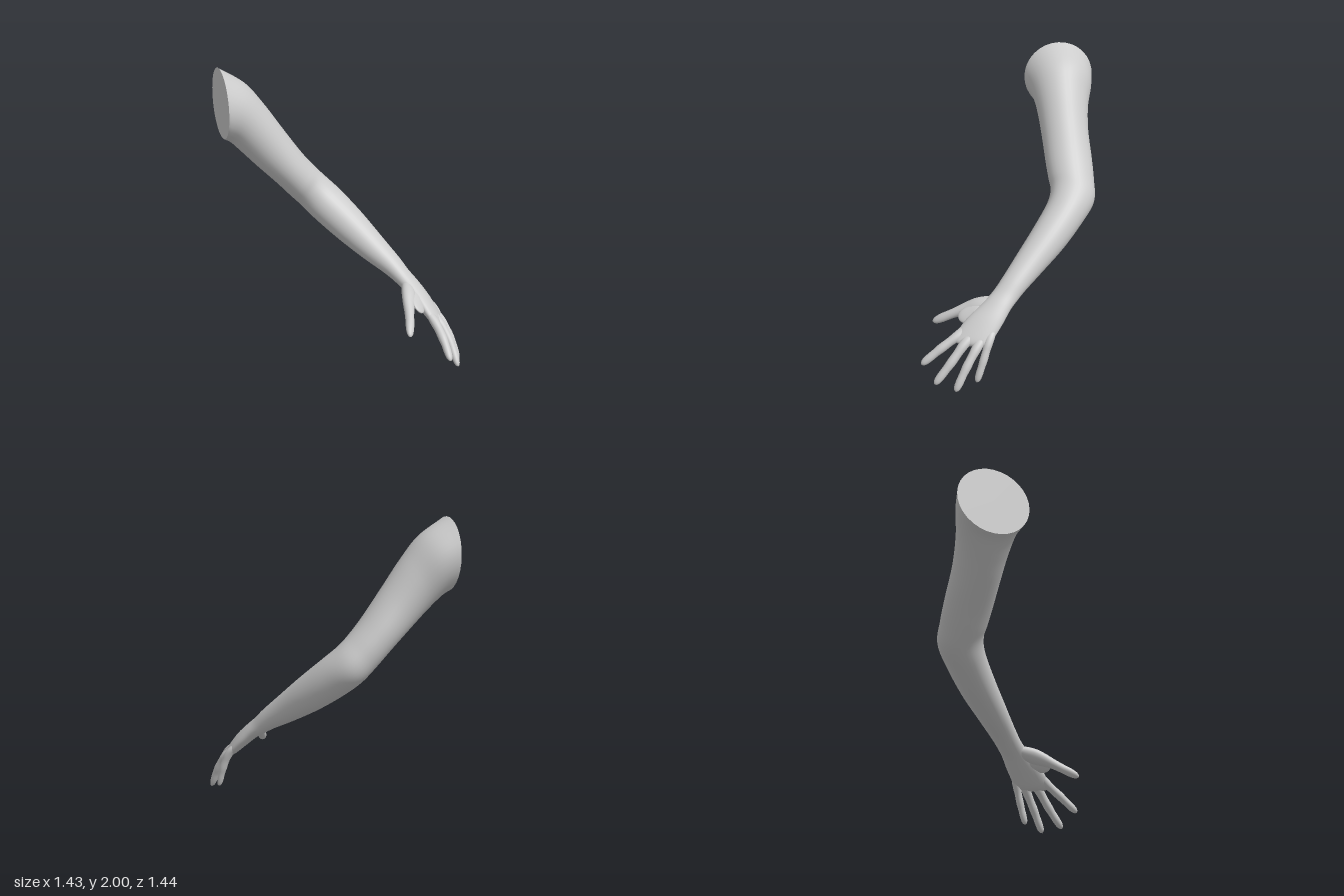
import * as THREE from 'three';

const V = (a) => new THREE.Vector3(a[0], a[1], a[2]);
const material = new THREE.MeshStandardMaterial({ color: 0xcccccc });
const SIDES = 32;

// Smooth skin through elliptical sections: { c: centre, a: half side axis, b: half upper axis }
function loft(name, sections, steps = 5) {
  const curve = (key) => new THREE.CatmullRomCurve3(sections.map((s) => s[key]), false, 'catmullrom', 0.5);
  const [C, A, B] = ['c', 'a', 'b'].map(curve);
  const rows = (sections.length - 1) * steps;
  const pos = [], index = [];
  for (let i = 0; i <= rows; i++) {
    const c = C.getPoint(i / rows), a = A.getPoint(i / rows), b = B.getPoint(i / rows);
    for (let j = 0; j < SIDES; j++) {
      const t = (j / SIDES) * Math.PI * 2;
      const p = c.clone().addScaledVector(a, Math.cos(t)).addScaledVector(b, Math.sin(t));
      pos.push(p.x, p.y, p.z);
      if (i === rows) continue;
      const k = i * SIDES + j, n = i * SIDES + ((j + 1) % SIDES);
      index.push(k, k + SIDES, n, n, k + SIDES, n + SIDES);
    }
  }
  const g = new THREE.BufferGeometry();
  g.setAttribute('position', new THREE.Float32BufferAttribute(pos, 3));
  g.setIndex(index);
  g.computeVertexNormals();
  const mesh = new THREE.Mesh(g, material);
  mesh.name = name;
  return mesh;
}

// Digit along a path; profile rows are [position along path, half width, half thickness]
const handBack = V([0.64, 0.72, 0.25]).normalize();
function digit(name, points, profile) {
  const path = new THREE.CatmullRomCurve3(points.map(V));
  return loft(name, profile.map(([s, w, h]) => {
    const d = path.getTangentAt(s);
    const a = d.clone().cross(handBack).normalize();
    const b = a.clone().cross(d).normalize();
    return { c: path.getPointAt(s), a: a.multiplyScalar(w), b: b.multiplyScalar(h) };
  }), 4);
}

// Fingers share one profile: buried tendon, knuckle, two joints, rounded tip
const fingerProfile = [
  [0, 0.7, 0.5], [0.18, 1.1, 0.85], [0.32, 1.08, 1.02], [0.45, 0.96, 0.96], [0.6, 1, 0.98],
  [0.72, 0.9, 0.86], [0.84, 0.9, 0.82], [0.93, 0.78, 0.66], [0.98, 0.46, 0.38], [1, 0, 0],
];
const wrist = [0.415, 0.535, 0.13];

export function createModel() {
  const group = new THREE.Group();
  group.name = 'arm';

  // Arm and palm: centre, side axis, upper axis
  const arm = [
    // shoulder and upper arm
    [[-0.714, 1.755, -0.465], [0, 0, 0.255], [0, 0.245, 0]],
    [[-0.6, 1.68, -0.468], [0, 0, 0.22], [0.06, 0.205, 0]],
    [[-0.495, 1.56, -0.455], [0, 0, 0.187], [0.078, 0.175, 0]],
    [[-0.38, 1.41, -0.447], [0, 0, 0.17], [0.1, 0.125, 0]],
    [[-0.245, 1.245, -0.447], [0, 0, 0.167], [0.095, 0.105, 0]],
    [[-0.15, 1.135, -0.445], [-0.02, 0.02, 0.16], [0.09, 0.105, 0]],
    // elbow and forearm
    [[-0.065, 1.045, -0.435], [-0.045, 0.045, 0.147], [0.09, 0.105, 0]],
    [[0.025, 0.95, -0.36], [-0.06, 0.06, 0.112], [0.1, 0.098, 0]],
    [[0.147, 0.82, -0.22], [-0.056, 0.057, 0.098], [0.092, 0.088, 0]],
    [[0.268, 0.692, -0.062], [-0.05, 0.048, 0.08], [0.073, 0.07, 0]],
    [[0.36, 0.6, 0.055], [-0.046, 0.035, 0.07], [0.054, 0.055, 0.004]],
    // wrist and palm
    [wrist, [-0.042, 0.02, 0.075], [0.042, 0.045, 0.01]],
    [[0.46, 0.48, 0.2], [-0.045, 0.01, 0.088], [0.036, 0.041, 0.012]],
    [[0.51, 0.405, 0.285], [-0.05, 0.006, 0.112], [0.033, 0.037, 0.013]],
    [[0.56, 0.322, 0.365], [-0.052, 0.006, 0.115], [0.025, 0.028, 0.01]],
    [[0.583, 0.288, 0.4], [-0.043, 0.004, 0.095], [0.015, 0.016, 0.006]],
    [[0.59, 0.275, 0.412], [0, 0, 0], [0, 0, 0]],
  ];
  group.add(loft('armAndPalm', arm.map(([c, a, b]) => ({ c: V(c), a: V(a), b: V(b) })), 6));

  // Flat end at the shoulder
  const cap = new THREE.Mesh(new THREE.CircleGeometry(1, SIDES), material);
  cap.name = 'shoulderCap';
  cap.scale.set(0.255, 0.245, 1);
  cap.rotation.y = -Math.PI / 2;
  cap.position.set(...arm[0][0]);
  group.add(cap);

  // Fingers: knuckle, middle joint, tip, radius
  const fingers = {
    indexFinger: [[0.52, 0.33, 0.455], [0.538, 0.245, 0.585], [0.54, 0.14, 0.718], 0.031],
    middleFinger: [[0.575, 0.3, 0.42], [0.618, 0.18, 0.525], [0.637, 0.036, 0.642], 0.031],
    ringFinger: [[0.612, 0.285, 0.345], [0.664, 0.16, 0.43], [0.7, 0.005, 0.512], 0.03],
    littleFinger: [[0.605, 0.325, 0.265], [0.647, 0.2, 0.312], [0.672, 0.045, 0.366], 0.027],
  };
  for (const [name, [knuckle, joint, tip, r]] of Object.entries(fingers)) {
    const start = V(knuckle).lerp(V(wrist), 0.3).toArray();
    group.add(digit(name, [start, knuckle, joint, tip], fingerProfile.map(([s, w, h]) => [s, w * r, h * r])));
  }

  // Thumb, and the web of skin joining it to the palm
  group.add(digit('thumb',
    [[0.425, 0.51, 0.17], [0.4, 0.475, 0.29], [0.357, 0.43, 0.4], [0.322, 0.38, 0.5], [0.28, 0.318, 0.61]],
    [[0, 0.03, 0.025], [0.15, 0.05, 0.04], [0.3, 0.058, 0.043], [0.45, 0.048, 0.038], [0.6, 0.035, 0.033],
      [0.73, 0.031, 0.03], [0.84, 0.031, 0.027], [0.93, 0.026, 0.021], [0.98, 0.015, 0.012], [1, 0, 0]]));
  group.add(digit('thumbWeb',
    [[0.47, 0.455, 0.24], [0.44, 0.43, 0.35], [0.415, 0.405, 0.45]],
    [[0, 0.03, 0.02], [0.3, 0.065, 0.035], [0.6, 0.066, 0.028], [0.85, 0.05, 0.018], [0.97, 0.025, 0.008], [1, 0, 0]]));
  return group;
}
